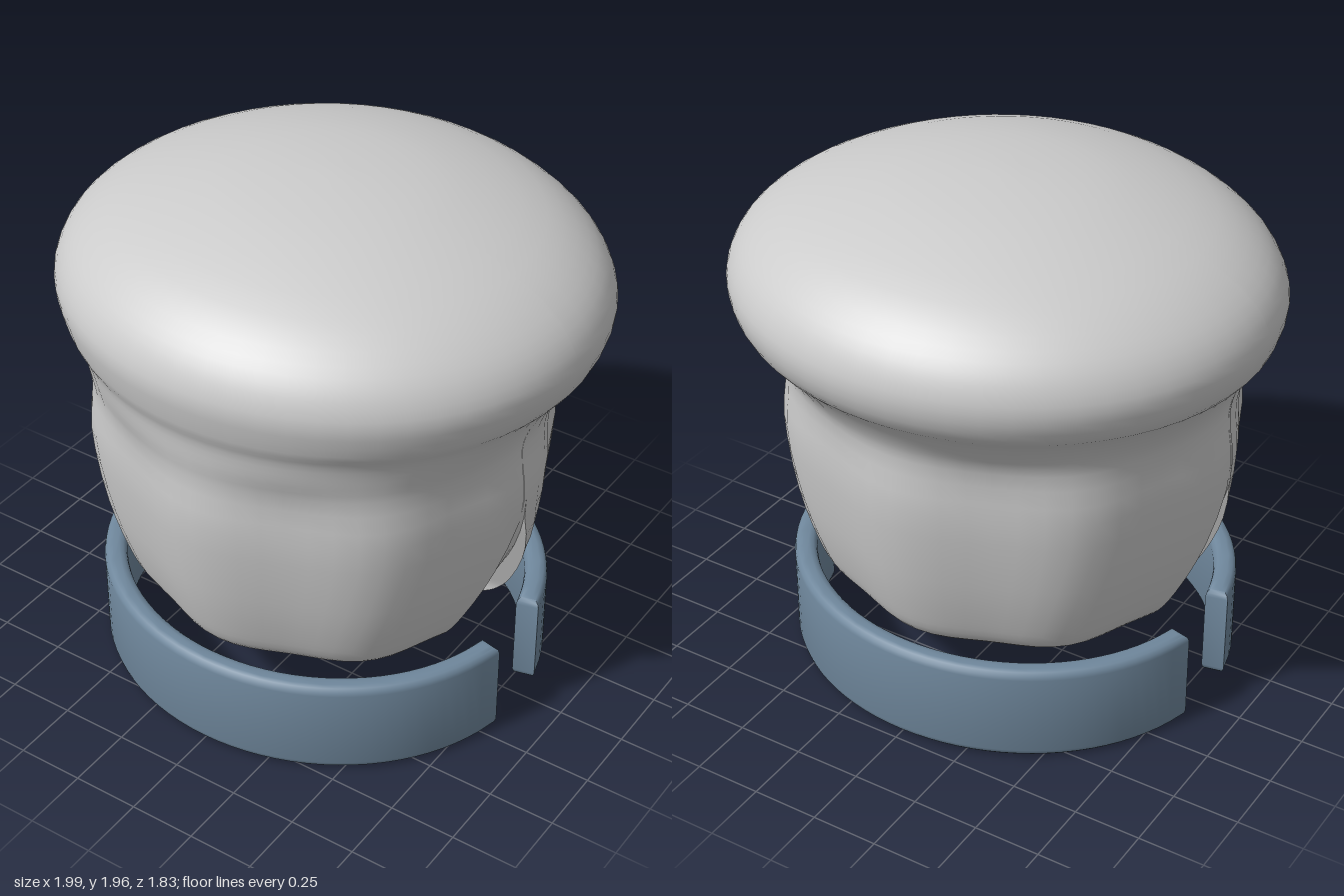
import * as THREE from 'three';
import { toCreasedNormals } from 'three/addons/utils/BufferGeometryUtils.js';

const { smoothstep, clamp, lerp } = THREE.MathUtils;
const grey = new THREE.MeshStandardMaterial({ color: 0xcccccc });
const blue = new THREE.MeshStandardMaterial({ color: 0x6f879c });

// Outline of cap, neck, body and floor from top to bottom: [y, rx, rz]
const profile = [
  [1.955, 0, 0], [1.945, 0.2, 0.19], [1.912, 0.43, 0.42], [1.822, 0.73, 0.7],
  [1.735, 0.885, 0.825], [1.65, 0.965, 0.89], [1.555, 0.997, 0.916],
  [1.44, 0.965, 0.89], [1.37, 0.905, 0.845], [1.29, 0.858, 0.812],
  [1.2, 0.835, 0.788], [1.0, 0.85, 0.795], [0.7, 0.815, 0.755],
  [0.5, 0.755, 0.705], [0.41, 0.71, 0.67], [0.365, 0.655, 0.62],
  [0.335, 0.53, 0.51], [0.318, 0.29, 0.28], [0.315, 0, 0],
];

// Columns of one ring as [angle, inNotch]: notch, front panel, notch, back panel
function columns(rise) {
  const mid = 0.055, half = 0.008 + 0.25 * rise;
  const spans = [
    [mid - half, mid + half, 4, true],
    [mid + half, Math.PI - mid - half, 30, false],
    [Math.PI - mid - half, Math.PI - mid + half, 4, true],
    [Math.PI - mid + half, Math.PI * 2 + mid - half, 30, false],
  ];
  const list = [];
  for (const [from, to, n, inNotch] of spans) {
    for (let k = 0; k <= n; k++) list.push([lerp(from, to, k / n), inNotch]);
  }
  return list;
}

// One skin for cap and body, fluted below the neck, with a notch on each side
function bodyGeometry() {
  const curve = new THREE.CatmullRomCurve3(profile.map((p) => new THREE.Vector3(...p)));
  const rings = curve.getPoints((profile.length - 1) * 3);
  const sides = columns(0).length, pos = [], index = [];
  rings.forEach(({ x: y, y: rx, z: rz }, i) => {
    const cz = 0.06 * (1 - smoothstep(y, 1.22, 1.5));
    const rise = clamp((0.92 - y) / 0.52, 0, 1);
    const fluting = 1 - smoothstep(y, 1.05, 1.35);
    columns(rise).forEach(([t, inNotch], j) => {
      const groove = fluting * (0.01 - 0.022 * (1 - Math.cos(8 * t)));
      const r = inNotch ? 1 + 0.01 * fluting - 0.13 * rise : 1 + groove;
      pos.push(r * rx * Math.cos(t), y, cz + r * rz * Math.sin(t));
      if (i === rings.length - 1) return;
      const a = i * sides + j, b = i * sides + (j + 1) % sides;
      index.push(a, b, a + sides, b, b + sides, a + sides);
    });
  });
  const g = new THREE.BufferGeometry();
  g.setAttribute('position', new THREE.Float32BufferAttribute(pos, 3));
  g.setIndex(index);
  return toCreasedNormals(g, 0.9);
}

// One half-ring band with rounded edges; a is the angle where its ends stop
function bandGeometry(a) {
  const bevel = 0.03, height = 0.375;
  const s = new THREE.Shape();
  s.absellipse(0, 0, 0.815, 0.75, a, Math.PI - a, false);
  s.absellipse(0, 0, 0.79, 0.725, Math.PI - a, a, true);
  s.closePath();
  const g = new THREE.ExtrudeGeometry(s, {
    depth: height - 2 * bevel, bevelSize: bevel, bevelThickness: bevel,
    bevelSegments: 3, curveSegments: 20,
  });
  g.rotateX(Math.PI / 2).translate(0, height - bevel, 0);
  return toCreasedNormals(g, 0.9);
}

export function createModel() {
  const model = new THREE.Group();
  model.name = 'cappedPot';

  // Wide domed cap and fluted body
  const body = new THREE.Mesh(bodyGeometry(), grey);
  body.name = 'capAndBody';
  model.add(body);

  // Bands around the foot, open at both sides
  [['frontBand', 0.2, 0], ['backBand', 0.24, Math.PI]].forEach(([name, ends, turn]) => {
    const band = new THREE.Mesh(bandGeometry(ends), blue);
    band.name = name;
    band.rotation.y = turn;
    band.position.z = 0.06;
    model.add(band);
  });
  return model;
}
